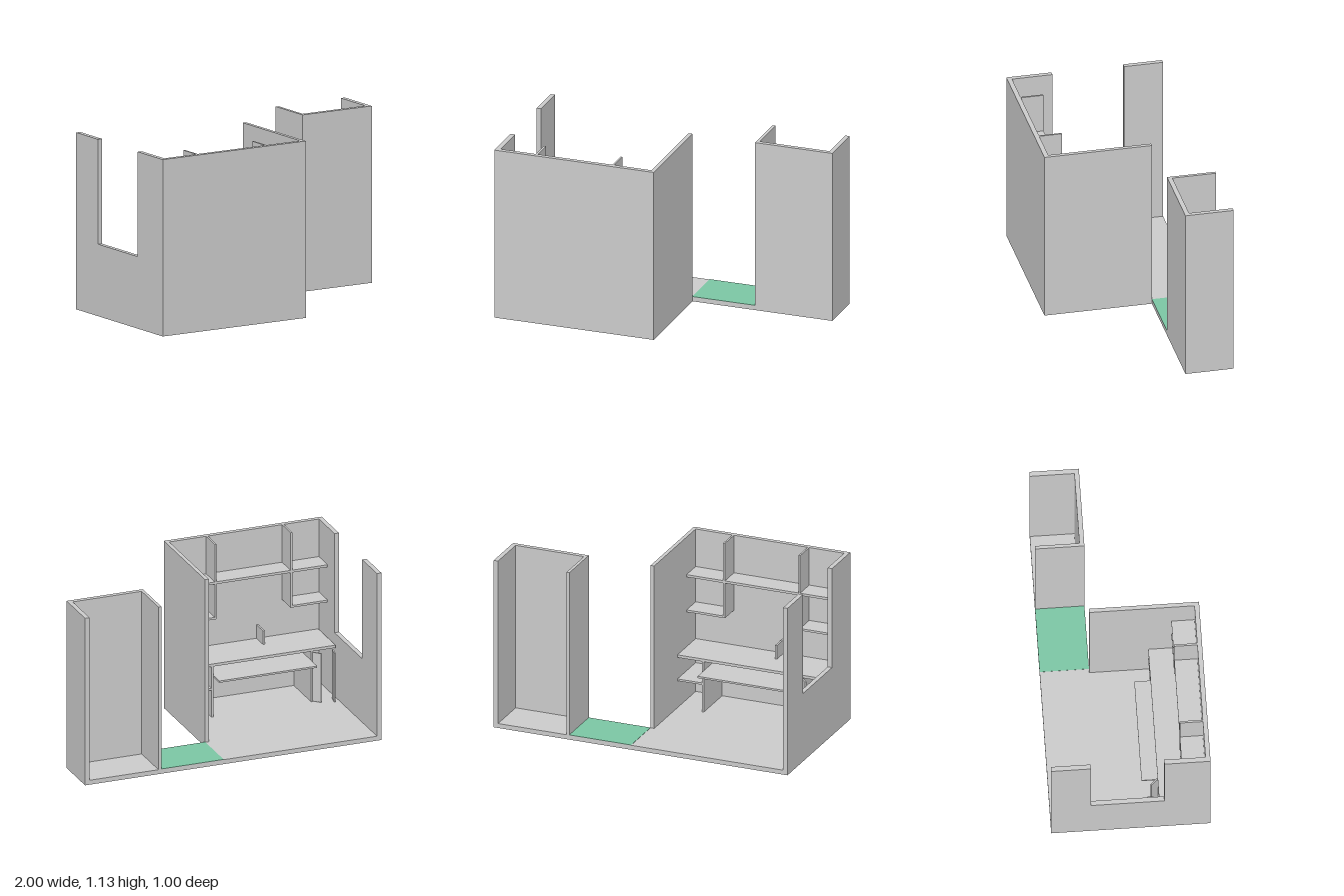
import * as THREE from 'three';

const FLOOR = 0.03, TOP = 1.13;

export function createModel() {
  const model = new THREE.Group();
  const grey = new THREE.MeshStandardMaterial({ color: 0xcccccc });
  const green = new THREE.MeshStandardMaterial({ color: 0x7cc6a4 });

  const add = (name, geometry, material = grey) => {
    const mesh = new THREE.Mesh(geometry, material);
    mesh.name = name;
    model.add(mesh);
    return mesh;
  };
  // Box given by its limits on each axis
  const box = (name, [x0, x1], [y0, y1], [z0, z1], material) => {
    const g = new THREE.BoxGeometry(x1 - x0, y1 - y0, z1 - z0);
    g.translate((x0 + x1) / 2, (y0 + y1) / 2, (z0 + z1) / 2);
    return add(name, g, material);
  };
  const outline = (points) => new THREE.Shape(points.map(([a, b]) => new THREE.Vector2(a, b)));
  // Floor-plan outline (x, z) raised from y0 to y1
  const plan = (name, points, y0, y1) => {
    const shape = outline(points.map(([x, z]) => [x, -z]));
    const g = new THREE.ExtrudeGeometry(shape, { depth: y1 - y0, bevelEnabled: false });
    return add(name, g.rotateX(-Math.PI / 2).translate(0, y0, 0));
  };

  // L-shaped floor with the coloured entrance area
  plan('floor', [[-1, -0.5], [1, -0.5], [1, -0.19], [0.065, -0.19], [0.065, 0.5], [-1, 0.5]], 0, FLOOR);
  box('entranceFloor', [0.065, 0.485], [FLOOR, FLOOR + 0.002], [-0.5, -0.19], green);

  // Front and inner side wall of the room
  plan('roomWalls', [[-0.97, 0.47], [0.04, 0.47], [0.04, -0.19], [0.065, -0.19], [0.065, 0.5], [-0.97, 0.5]], FLOOR, TOP);

  // U-shaped closet walls
  plan('closetWalls', [[0.485, -0.5], [0.485, -0.19], [1, -0.19], [1, -0.5],
    [0.97, -0.5], [0.97, -0.22], [0.505, -0.22], [0.505, -0.5]], FLOOR, TOP);

  // Outer side wall with the window opening, drawn in (z, y)
  const windowWall = outline([[-0.5, FLOOR], [0.5, FLOOR], [0.5, TOP], [0.21, TOP],
    [0.21, 0.46], [-0.25, 0.46], [-0.25, TOP], [-0.5, TOP]]);
  add('windowWall', new THREE.ExtrudeGeometry(windowWall, { depth: 0.03, bevelEnabled: false })
    .rotateY(-Math.PI / 2).translate(-0.97, 0, 0));

  // Wall shelving: one long shelf, two dividers, two short shelves
  const shelfZ = [0.325, 0.47];
  box('longShelf', [-0.97, 0.04], [0.86, 0.876], shelfZ);
  for (const x of [-0.733, -0.221]) {
    box('shelfDivider', [x, x + 0.012], [0.876, TOP], shelfZ);
    box('shelfDivider', [x, x + 0.012], [0.623, 0.86], shelfZ);
  }
  box('shortShelf', [-0.209, 0.04], [0.623, 0.637], shelfZ);
  box('shortShelf', [-0.97, -0.733], [0.623, 0.637], shelfZ);

  // Desk with supports, side shelf and pulled-out tray
  box('deskTop', [-0.965, 0.04], [0.37, 0.388], [0.18, 0.47]);
  for (const x of [-0.812, -0.14]) box('deskSupport', [x, x + 0.012], [FLOOR, 0.37], [0.18, 0.47]);
  box('deskSideShelf', [-0.128, 0.04], [0.212, 0.225], [0.18, 0.47]);
  box('deskTray', [-0.8, -0.14], [0.298, 0.31], [0.08, 0.36]);
  box('deskPartition', [-0.56, -0.548], [0.388, 0.48], [0.36, 0.47]);

  // Cupboard doors standing ajar below the desk
  for (const [x0, z0, x1, z1] of [[-0.945, 0.18, -0.932, 0.11], [-0.812, 0.18, -0.852, 0.137]]) {
    const length = Math.hypot(x1 - x0, z1 - z0);
    const door = add('cupboardDoor', new THREE.BoxGeometry(length, 0.33, 0.01));
    door.position.set((x0 + x1) / 2, 0.2, (z0 + z1) / 2);
    door.rotation.y = -Math.atan2(z1 - z0, x1 - x0);
  }

  return model;
}
